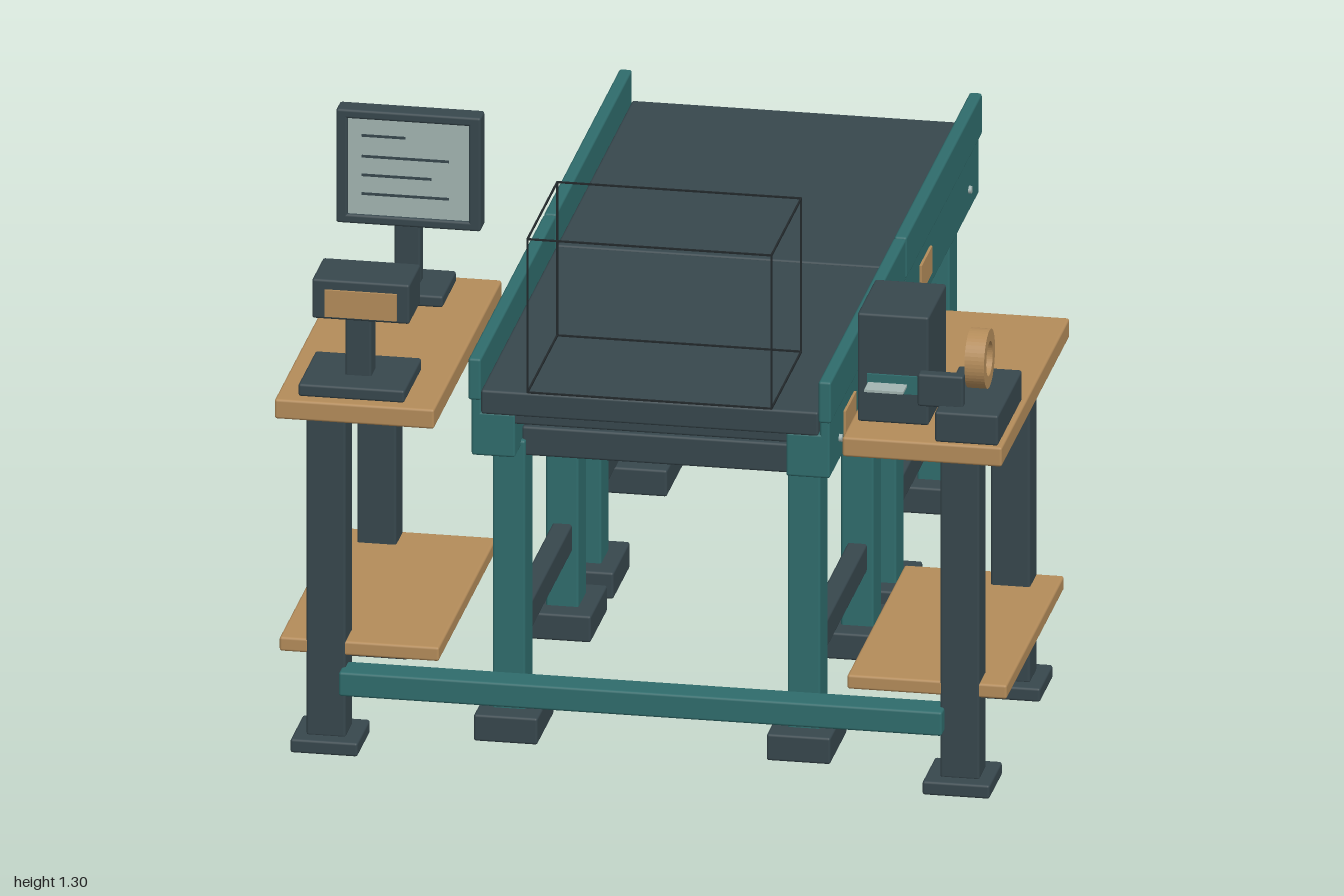
import * as THREE from 'three';
import { RoundedBoxGeometry } from 'three/addons/geometries/RoundedBoxGeometry.js';

const paint = (name, hex) => {
  const m = new THREE.MeshStandardMaterial({ color: hex });
  m.name = name;
  return m;
};

export function createModel() {
  const slate = paint('dark slate', 0x37474d);
  const teal = paint('teal steel', 0x2f6c6c);
  const wood = paint('light wood', 0xb48c5a);
  const pale = paint('pale screen', 0xa3b5b2);
  const black = paint('near black', 0x22282b);

  const model = new THREE.Group();
  model.name = 'packingStation';

  const section = (name) => {
    const g = new THREE.Group();
    g.name = name;
    model.add(g);
    return g;
  };

  // Box given by its extents; larger parts get softened edges
  const box = (parent, name, mat, [x0, x1], [y0, y1], [z0, z1]) => {
    const w = x1 - x0, h = y1 - y0, d = z1 - z0;
    const thin = Math.min(w, h, d);
    const geo = thin < 0.02
      ? new THREE.BoxGeometry(w, h, d)
      : new RoundedBoxGeometry(w, h, d, 2, 0.006);
    const mesh = new THREE.Mesh(geo, mat);
    mesh.name = name;
    mesh.position.set((x0 + x1) / 2, (y0 + y1) / 2, (z0 + z1) / 2);
    parent.add(mesh);
    return mesh;
  };
  const around = (c, size) => [c - size / 2, c + size / 2];
  // Mirrors an x range to the chosen side
  const side = (s, a, b) => (s > 0 ? [a, b] : [-b, -a]);

  // Conveyor sections: belt, rails, legs, drive box
  const conveyor = (name, z0, z1, legs, motor, tag) => {
    const g = section(name);
    box(g, 'belt', slate, [-0.386, 0.386], [0.8, 0.858], [z0, z1]);
    box(g, 'beltBed', slate, [-0.315, 0.315], [0.775, 0.802], [z0 + 0.015, z1 - 0.015]);
    box(g, 'driveBox', slate, [0.085, 0.285], [0.553, 0.69], motor);
    for (const z of legs) box(g, 'crossBeam', slate, [-0.31, 0.31], [0.67, 0.74], around(z, 0.07));
    for (const s of [-1, 1]) {
      box(g, 'guardRail', teal, side(s, 0.386, 0.415), [0.832, 0.932], [z0, z1]);
      box(g, 'railWeb', teal, side(s, 0.387, 0.41), [0.78, 0.838], [z0 + 0.014, z1 - 0.012]);
      box(g, 'sideRail', teal, side(s, 0.31, 0.41), [0.695, 0.8], [z0 + 0.014, z1 - 0.012]);
      box(g, 'railTag', wood, side(s, 0.409, 0.416), [0.73, 0.795], tag);
      box(g, 'stretcher', slate, side(s, 0.315, 0.36), [0.195, 0.262], [legs[0], legs[1]]);
      for (const z of legs) {
        box(g, 'leg', teal, side(s, 0.3, 0.375), [0.05, 0.71], around(z, 0.096));
        box(g, 'foot', slate, side(s, 0.262, 0.408), [0, 0.064], around(z, 0.203));
        const bolt = new THREE.Mesh(new THREE.CylinderGeometry(0.009, 0.009, 0.012, 12), pale);
        bolt.name = 'bolt';
        bolt.rotation.z = Math.PI / 2;
        bolt.position.set(s * 0.411, 0.75, z);
        g.add(bolt);
      }
    }
  };
  conveyor('frontConveyor', -0.067, 0.855, [0.07, 0.724], [0.12, 0.225], [0.545, 0.675]);
  conveyor('backConveyor', -1, -0.073, [-0.863, -0.208], [-0.815, -0.71], [-0.385, -0.255]);

  // Side benches joined by a low bar
  for (const s of [-1, 1]) {
    const g = section(s > 0 ? 'leftBench' : 'rightBench');
    box(g, 'benchTop', wood, side(s, 0.467, 0.832), [0.81, 0.857], [0.162, 0.995]);
    box(g, 'lowerShelf', wood, side(s, 0.467, 0.832), [0.228, 0.262], [0.23, 0.935]);
    box(g, 'topSupport', teal, side(s, 0.695, 0.755), [0.755, 0.812], [0.28, 0.89]);
    box(g, 'shelfSupport', teal, side(s, 0.695, 0.755), [0.2, 0.23], [0.28, 0.89]);
    for (const z of [0.275, 0.895]) {
      box(g, 'benchLeg', slate, side(s, 0.68, 0.77), [0.03, 0.812], around(z, 0.084));
      box(g, 'benchFoot', slate, side(s, 0.646, 0.8), [0, 0.033], around(z, 0.157));
    }
  }
  box(model, 'frontTieBar', teal, [-0.69, 0.69], [0.142, 0.2], [0.895, 0.97]);

  // Monitor
  const monitor = section('monitor');
  box(monitor, 'monitorBase', slate, [-0.75, -0.565], [0.857, 0.885], [0.195, 0.362]);
  box(monitor, 'monitorPost', slate, [-0.69, -0.63], [0.88, 1.075], [0.25, 0.29]);
  box(monitor, 'monitorBack', slate, [-0.818, -0.487], [1.028, 1.302], [0.264, 0.305]);
  box(monitor, 'screen', pale, [-0.792, -0.515], [1.05, 1.28], [0.304, 0.309]);
  for (const y of [[1.028, 1.05], [1.28, 1.302]])
    box(monitor, 'bezel', slate, [-0.818, -0.487], y, [0.28, 0.316]);
  for (const x of [[-0.818, -0.792], [-0.515, -0.487]])
    box(monitor, 'bezel', slate, x, [1.028, 1.302], [0.28, 0.316]);
  for (const [x0, x1, y] of [[-0.76, -0.66, 1.24], [-0.76, -0.56, 1.19], [-0.76, -0.6, 1.145], [-0.76, -0.56, 1.1]])
    box(monitor, 'screenLine', slate, [x0, x1], around(y, 0.006), [0.308, 0.311]);

  // Scanner on its stand
  const scanner = section('scanner');
  box(scanner, 'scannerBase', slate, [-0.783, -0.54], [0.857, 0.887], [0.753, 0.967]);
  box(scanner, 'scannerPost', slate, [-0.69, -0.63], [0.88, 1.05], around(0.86, 0.06));
  box(scanner, 'scannerHead', slate, [-0.755, -0.532], [1.04, 1.135], [0.81, 0.948]);
  box(scanner, 'scannerWindow', wood, [-0.725, -0.56], [1.048, 1.112], [0.946, 0.954]);

  // Label printer
  const printer = section('printer');
  box(printer, 'printerBody', slate, [0.482, 0.645], [0.857, 1.118], [0.672, 0.89]);
  box(printer, 'printerSlot', teal, [0.505, 0.622], [0.932, 0.975], [0.888, 0.896]);
  box(printer, 'label', pale, [0.508, 0.597], [0.95, 0.956], [0.89, 0.945]);

  // Tape dispenser
  const tape = section('tapeDispenser');
  box(tape, 'tapeBase', slate, [0.677, 0.822], [0.857, 0.93], [0.69, 0.987]);
  box(tape, 'tapeCutter', slate, [0.63, 0.735], [0.925, 1.003], [0.918, 0.948]);
  const ring = new THREE.Shape().absarc(0, 0, 0.068, 0, Math.PI * 2);
  ring.holes.push(new THREE.Path().absarc(0, 0, 0.04, 0, Math.PI * 2, true));
  const roll = new THREE.Mesh(
    new THREE.ExtrudeGeometry(ring, { depth: 0.045, bevelEnabled: false, curveSegments: 24 }), wood);
  roll.name = 'tapeRoll';
  roll.rotation.y = Math.PI / 2;
  roll.position.set(0.727, 1.003, 0.823);
  tape.add(roll);

  // Thin outline of a parcel on the belt
  const parcel = section('parcelOutline');
  const X = [-0.279, 0.279], Y = [0.86, 1.229], Z = [0.49, 0.855], t = 0.004;
  for (const i of [0, 1]) for (const j of [0, 1]) {
    box(parcel, 'edge', black, X, around(Y[i], t), around(Z[j], t));
    box(parcel, 'edge', black, around(X[i], t), Y, around(Z[j], t));
    box(parcel, 'edge', black, around(X[i], t), around(Y[j], t), Z);
  }
  return model;
}
